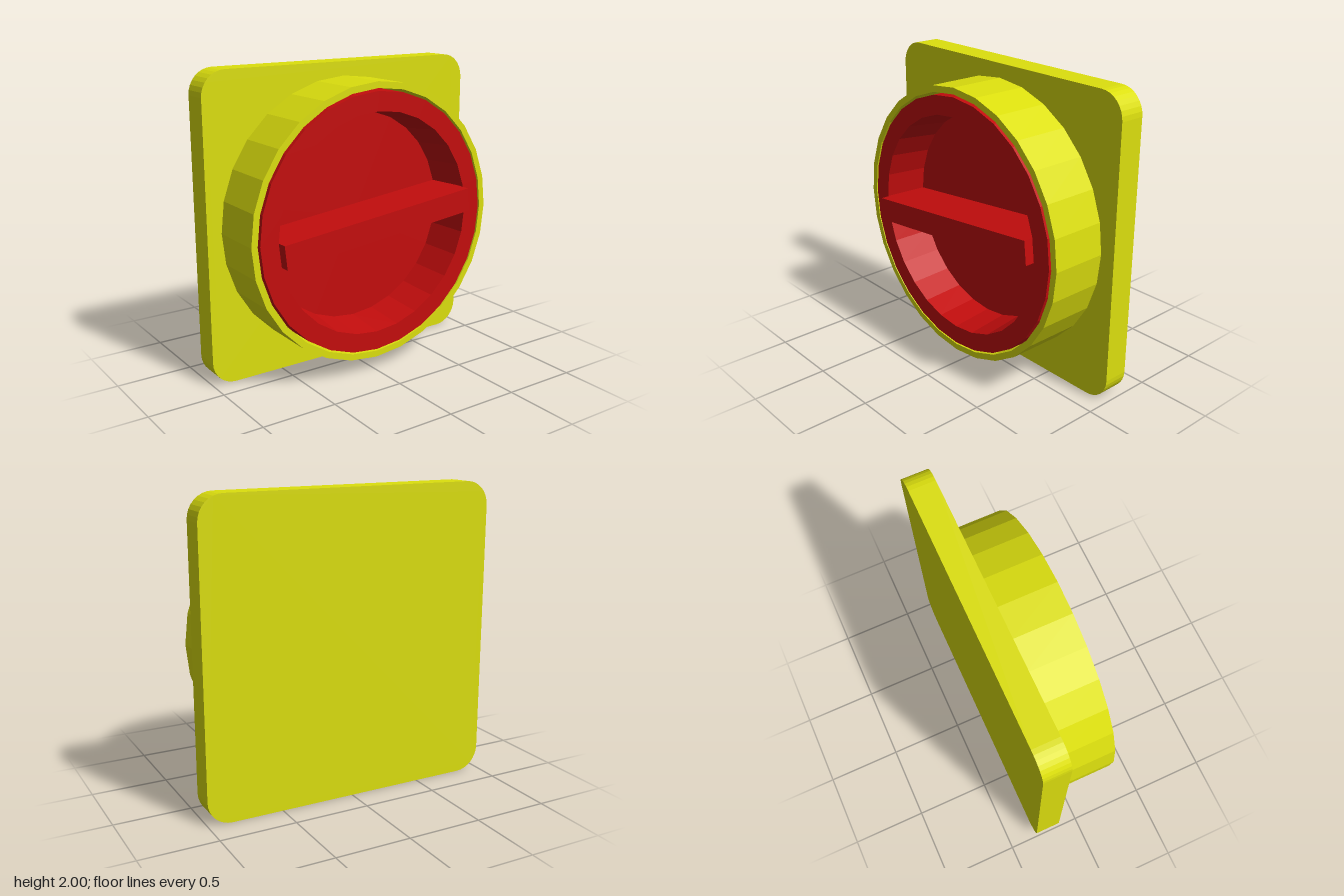
import * as THREE from 'three';

const SIDES = 28;
const CENTRE_Y = 1;

const yellow = new THREE.MeshStandardMaterial({ color: 0xdcdf0e, flatShading: true });
const red = new THREE.MeshStandardMaterial({ color: 0xc40d0d, flatShading: true });

function addMesh(group, name, geometry, material) {
  const mesh = new THREE.Mesh(geometry, material);
  mesh.name = name;
  group.add(mesh);
  return mesh;
}

// Turned part around the z axis; the profile lists [radius, z] from back to front
function turned(profile) {
  const points = profile.map(([r, z]) => new THREE.Vector2(r, z));
  return new THREE.LatheGeometry(points, SIDES).rotateX(Math.PI / 2);
}

// Square outline with rounded corners
function roundedSquare(half, radius) {
  const c = half - radius;
  const shape = new THREE.Shape();
  [[c, c], [-c, c], [-c, -c], [c, -c]].forEach(([x, y], i) => {
    shape.absarc(x, y, radius, i * Math.PI / 2, (i + 1) * Math.PI / 2, false);
  });
  shape.closePath();
  return shape;
}

export function createModel() {
  const group = new THREE.Group();
  group.name = 'rotarySwitch';

  // Square mounting plate at the back
  const plate = new THREE.ExtrudeGeometry(roundedSquare(1, 0.16), {
    depth: 0.172, bevelEnabled: false, curveSegments: 4,
  });
  addMesh(group, 'backPlate', plate, yellow).position.set(0, CENTRE_Y, -0.31);

  // Round collar holding the knob, closed at the back
  const collar = turned([
    [0, -0.13], [0.907, -0.13], [0.907, 0.248], [0.865, 0.248], [0.853, -0.1], [0, -0.1],
  ]);
  addMesh(group, 'collar', collar, yellow).position.y = CENTRE_Y + 0.003;

  // Knob and grip turn together
  const knob = new THREE.Group();
  knob.name = 'knob';
  knob.position.y = CENTRE_Y + 0.001;
  group.add(knob);

  // Dished knob body with a flat rim and a tapered recess
  const dish = turned([
    [0, -0.09], [0.85, -0.09], [0.85, 0.251], [0.725, 0.251], [0.695, -0.03], [0, -0.03],
  ]);
  addMesh(knob, 'knobDish', dish, red);

  // Grip bar across the recess, slightly turned
  const grip = addMesh(knob, 'gripBar', new THREE.BoxGeometry(1.43, 0.156, 0.345), red);
  grip.position.z = 0.1375;
  grip.rotation.z = THREE.MathUtils.degToRad(6.2);

  return group;
}
